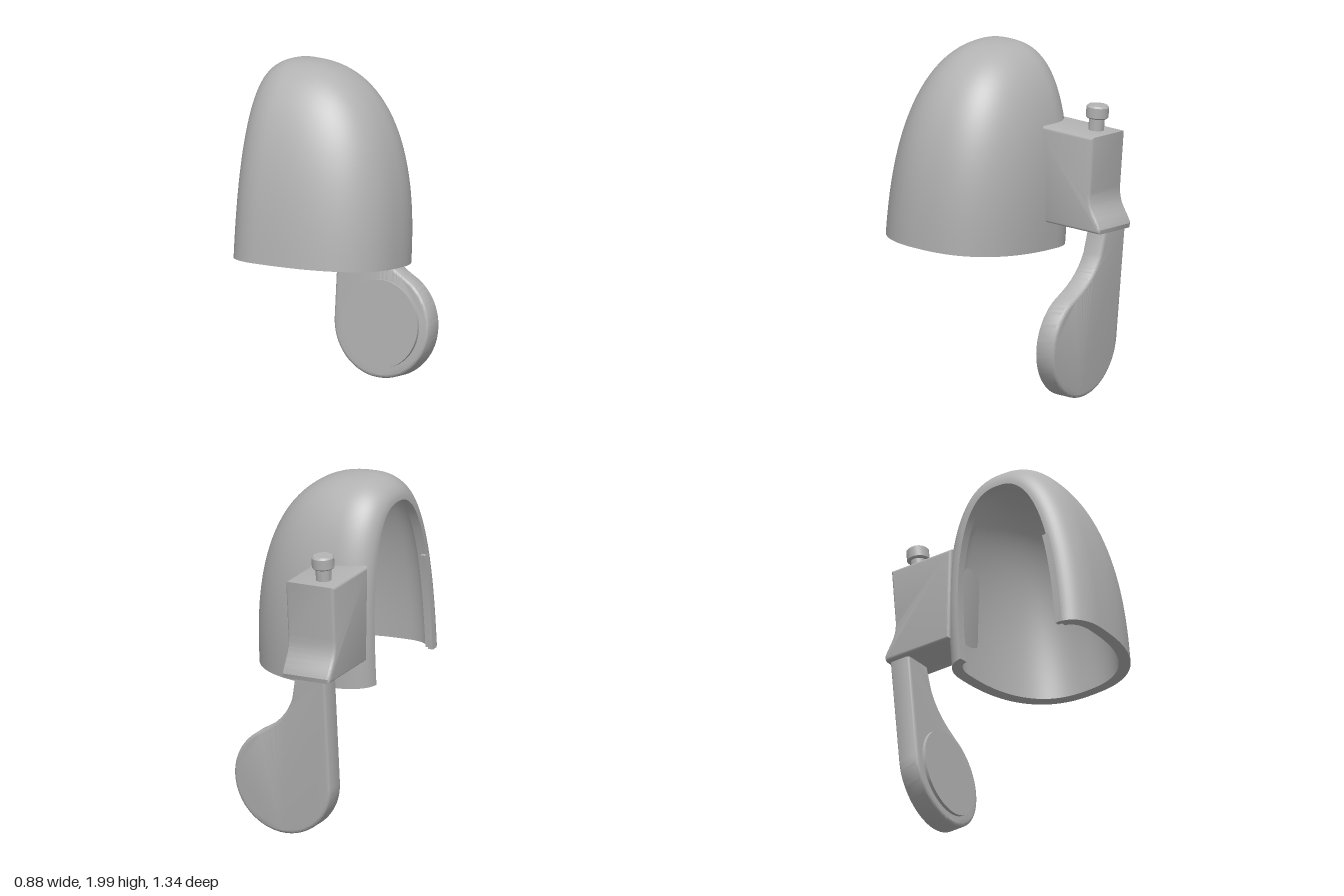
import * as THREE from 'three';
import { toCreasedNormals } from 'three/addons/utils/BufferGeometryUtils.js';

const grey = new THREE.MeshStandardMaterial({ color: 0xb2b2b2, side: THREE.DoubleSide });
grey.name = 'satin grey';

const P = 2 / 2.45; // superellipse power
const pow = (v) => Math.pow(Math.max(v, 0), P);
const HALF_Z = 0.477, HEIGHT = 1.137, RIM_X = -0.24;

function part(name, geometry, parent) {
  const mesh = new THREE.Mesh(geometry, grey);
  mesh.name = name;
  parent.add(mesh);
  return mesh;
}

// Point of the arch cross-section, u running from front foot over the top to back foot
function archPoint(u, halfZ, height) {
  const c = Math.cos(u);
  return [Math.sign(c) * pow(Math.abs(c)) * halfZ, pow(Math.sin(u)) * height];
}

// Stations from the outer tip, round the rim of the side opening, to the inner tip
function shellStations() {
  const list = [];
  const dome = (t, inset) => {
    const k = Math.max(pow(Math.cos(t)), 0.002);
    list.push([RIM_X + (0.675 - inset) * pow(Math.sin(t)), (HALF_Z - inset) * k, (HEIGHT - inset) * k]);
  };
  const rim = (t, base, curl, reach) => {
    const inset = base + curl * (1 - Math.cos(t));
    list.push([RIM_X - reach * Math.sin(t), HALF_Z - inset, HEIGHT - inset]);
  };
  const N = 40, R = 12, Q = Math.PI / 2;
  for (let i = N; i >= 0; i--) dome(Q * i / N, 0);
  for (let i = 1; i <= R; i++) rim(Q * i / R, 0, 0.14, 0.2);
  for (let i = R; i >= 1; i--) rim(Q * i / R, 0.065, 0.075, 0.14);
  for (let i = 0; i <= N; i++) dome(Q * i / N, 0.065);
  return list;
}

function shellGeometry(stations) {
  const n = 64, pos = [], index = [];
  stations.forEach(([x, hz, hy], s) => {
    for (let j = 0; j <= n; j++) {
      const [z, y] = archPoint(Math.PI * j / n, hz, hy);
      pos.push(x, y, z);
      if (s < stations.length - 1 && j < n) {
        const a = s * (n + 1) + j, c = a + n + 1;
        index.push(a, a + 1, c, a + 1, c + 1, c);
      }
    }
  });
  const g = new THREE.BufferGeometry();
  g.setAttribute('position', new THREE.Float32BufferAttribute(pos, 3));
  g.setIndex(index);
  return toCreasedNormals(g, 0.7);
}

function extrude(shape, depth, bevel) {
  const g = new THREE.ExtrudeGeometry(shape, {
    depth: depth - 2 * bevel, curveSegments: 40, bevelEnabled: bevel > 0,
    bevelThickness: bevel, bevelSize: bevel, bevelOffset: -bevel, bevelSegments: 4,
  });
  g.translate(0, 0, bevel);
  return toCreasedNormals(g, 0.6);
}

// Extrudes a (z, y) outline from x = left up to x = right
function extrudeAcross(shape, left, right, bevel) {
  return extrude(shape, right - left, bevel).rotateY(-Math.PI / 2).translate(right, 0, 0);
}

export function createModel() {
  const model = new THREE.Group();
  model.name = 'hoodedLever';
  const tilted = new THREE.Group();
  tilted.name = 'tiltedAssembly';
  tilted.rotation.x = -0.09;
  model.add(tilted);

  // Hollow hood, open at the bottom and on one side
  const hood = new THREE.Group();
  hood.name = 'hood';
  hood.position.set(0, 0.84, 0.272);
  tilted.add(hood);
  const stations = shellStations();
  part('hoodShell', shellGeometry(stations), hood);
  const edge = [
    ...stations.map(([x, z]) => new THREE.Vector2(x, z)),
    ...stations.map(([x, z]) => new THREE.Vector2(x, -z)).reverse(),
  ];
  part('hoodBottomEdge', new THREE.ShapeGeometry(new THREE.Shape(edge)).rotateX(Math.PI / 2), hood);

  // Thin strip along the front edge of the opening
  const stripSide = (inset) => Array.from({ length: 9 }, (_, i) => {
    const y = 0.58 * i / 8;
    const z = (HALF_Z - inset) * Math.pow(1 - Math.pow(y / (HEIGHT - inset), 2.45), 1 / 2.45);
    return new THREE.Vector2(z, y);
  });
  const strip = new THREE.Shape([...stripSide(0.125), ...stripSide(0.165).reverse()]);
  part('openingStrip', extrudeAcross(strip, -0.443, -0.412, 0), hood);

  // Bracket block with a flared lower back
  const block = new THREE.Shape();
  block.moveTo(-0.075, 1.56);
  block.lineTo(-0.487, 1.56);
  block.lineTo(-0.49, 1.25);
  block.bezierCurveTo(-0.49, 1.13, -0.545, 1.11, -0.58, 1.035);
  block.lineTo(-0.575, 1.008);
  block.lineTo(-0.14, 1.008);
  block.closePath();
  part('bracket', extrudeAcross(block, -0.43, -0.115, 0.02), tilted);

  // Lever: straight outer edge, round paddle, curved neck
  const lever = new THREE.Shape();
  lever.moveTo(-0.395, 1.05);
  lever.lineTo(-0.395, 0.37);
  lever.absarc(-0.08, 0.37, 0.315, Math.PI, Math.PI * 2 + Math.PI / 3, false);
  lever.bezierCurveTo(-0.03, 0.7, -0.12, 0.76, -0.165, 0.88);
  lever.lineTo(-0.2, 1.05);
  lever.closePath();
  part('lever', extrude(lever, 0.13, 0.02).translate(0, 0, -0.567), tilted);

  // Round pad on the front of the paddle
  const pad = part('leverPad', new THREE.CylinderGeometry(0.255, 0.255, 0.04, 64), tilted);
  pad.rotation.x = Math.PI / 2;
  pad.position.set(-0.08, 0.37, -0.438);

  // Adjusting screw on the bracket
  const profile = [[0, 1.5], [0.045, 1.5], [0.045, 1.63], [0.058, 1.63], [0.065, 1.637],
    [0.065, 1.695], [0.055, 1.706], [0, 1.706]].map(([r, y]) => new THREE.Vector2(r, y));
  const screw = part('screw', toCreasedNormals(new THREE.LatheGeometry(profile, 40), 0.6), tilted);
  screw.position.set(-0.305, 0, -0.372);

  return model;
}
